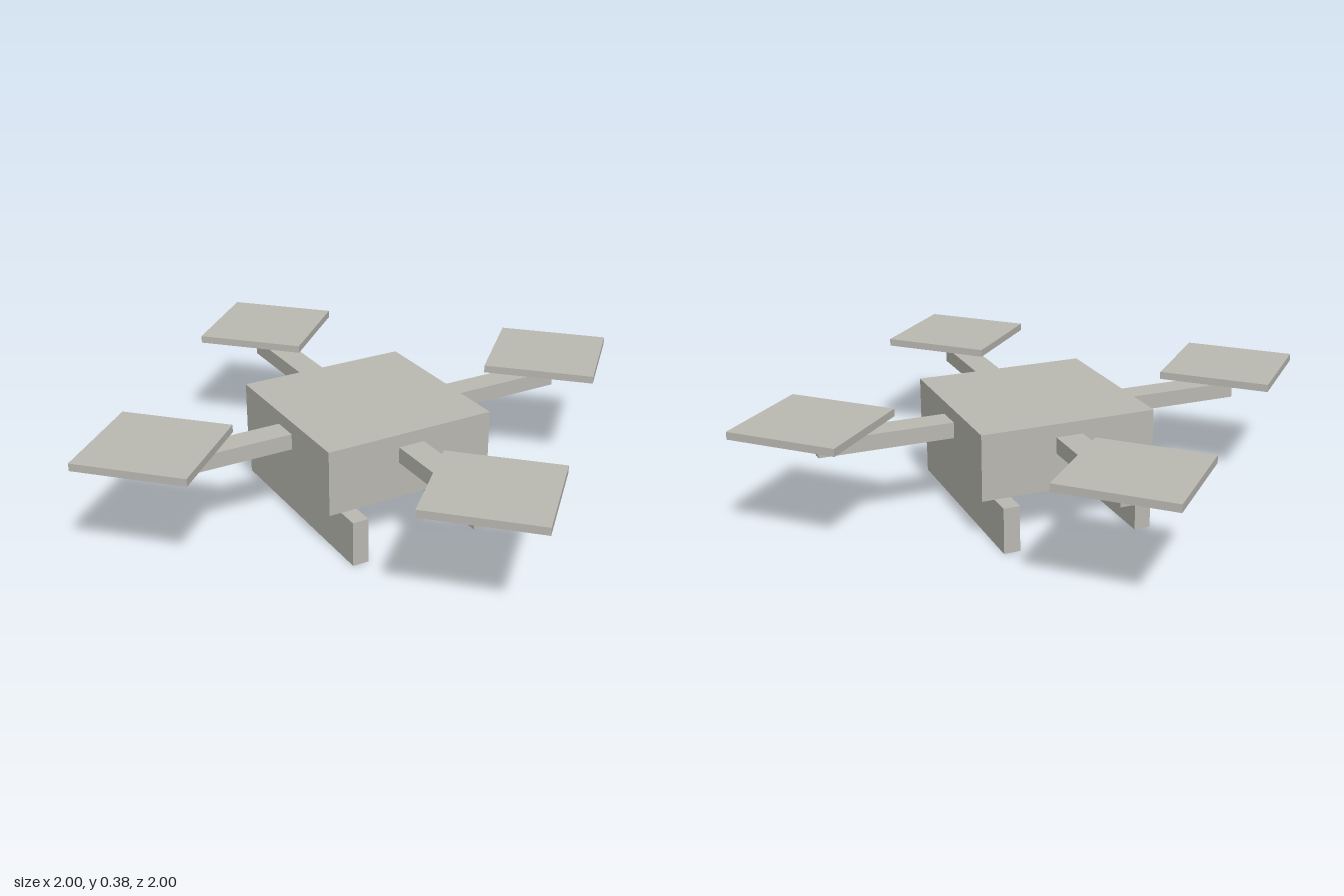
import * as THREE from 'three';

export function createModel() {
  const model = new THREE.Group();
  model.name = 'quadcopter';
  const grey = new THREE.MeshStandardMaterial({ color: 0xbab9b2 });
  grey.name = 'warm grey';

  // Box from its size and centre
  const box = (parent, name, size, centre) => {
    const mesh = new THREE.Mesh(new THREE.BoxGeometry(...size), grey);
    mesh.name = name;
    mesh.position.set(...centre);
    parent.add(mesh);
    return mesh;
  };

  // Central body
  box(model, 'body', [0.586, 0.218, 0.586], [0, 0.261, 0]);

  // Landing skids, running front to back
  for (const side of [-1, 1]) {
    box(model, side > 0 ? 'leftSkid' : 'rightSkid', [0.054, 0.152, 0.735], [side * 0.225, 0.076, 0]);
  }

  // Four arms, each with a square rotor plate turned 45 degrees above its tip
  ['left', 'back', 'right', 'front'].forEach((place, i) => {
    const unit = new THREE.Group();
    unit.name = place + 'RotorUnit';
    unit.rotation.y = i * Math.PI / 2;
    box(unit, place + 'Arm', [0.445, 0.053, 0.09], [0.513, 0.3, 0]);
    const rotor = box(unit, place + 'Rotor', [0.372, 0.025, 0.372], [0.737, 0.372, 0]);
    rotor.rotation.y = Math.PI / 4;
    model.add(unit);
  });

  return model;
}
